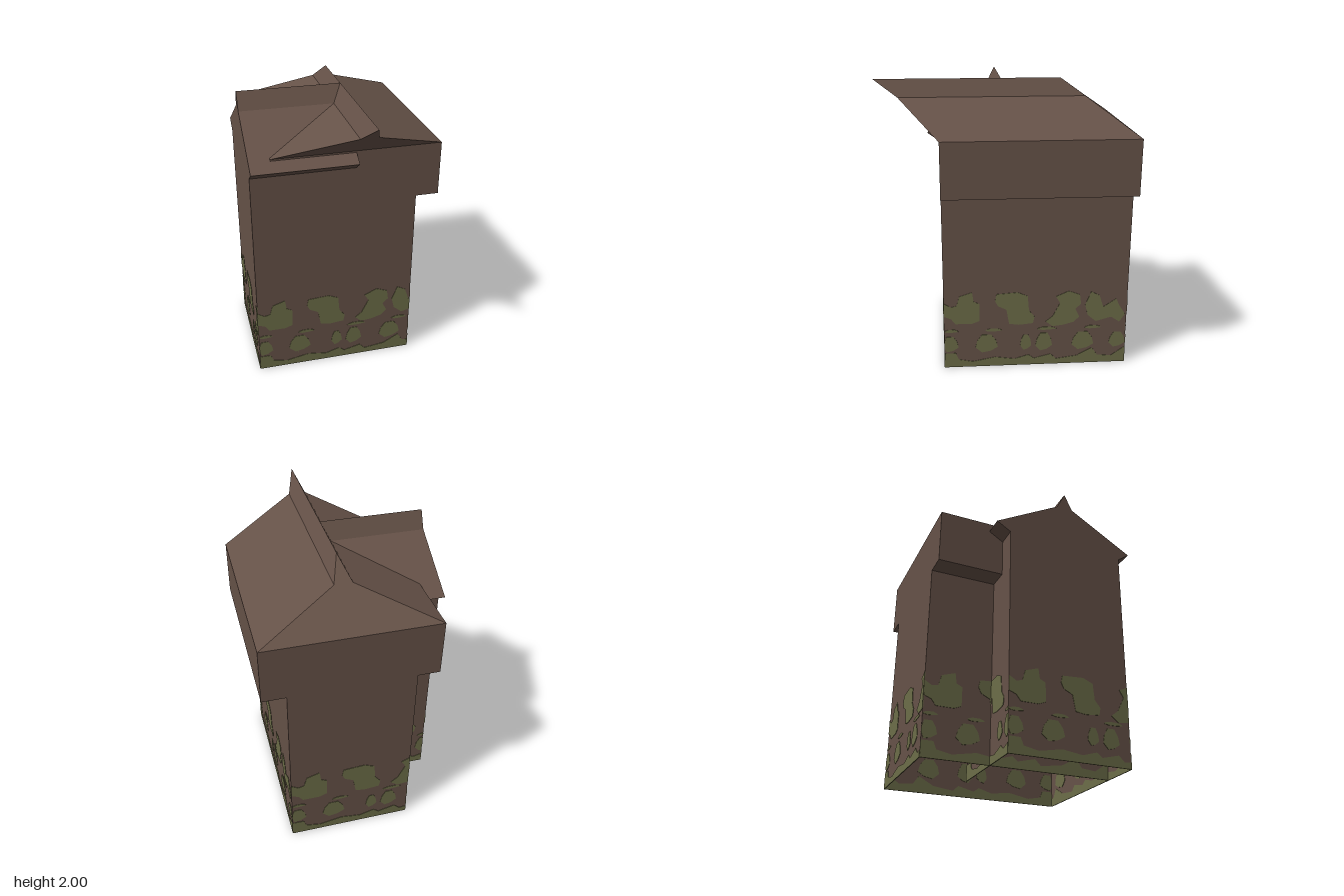
import * as THREE from 'three';

const brown = new THREE.MeshStandardMaterial({ color: 0x665248, side: THREE.DoubleSide });
brown.name = 'weathered brown';
const moss = new THREE.MeshStandardMaterial({ color: 0x6c6d48, side: THREE.DoubleSide });
moss.name = 'moss green';

// Moss patches as outlines along the wall and up it
const MOSS = [
  [[0, .5], [.05, .47], [.09, .48], [.11, .55], [.2, .58], [.21, .51], [.25, .49], [.25, .36], [.2, .34], [.08, .34], [.05, .38], [0, .4]],
  [[.36, .51], [.37, .56], [.52, .57], [.59, .54], [.6, .43], [.64, .38], [.63, .33], [.53, .32], [.46, .33], [.44, .44], [.38, .47]],
  [[.82, .48], [.79, .53], [.88, .57], [.96, .54], [.97, .47], [.93, .43], [.96, .37], [.92, .33], [.85, .31], [.77, .3], [.72, .34], [.77, .38]],
  [[1, .46], [1.04, .56], [1.1, .53], [1.13, .44], [1.22, .5], [1.25, .44], [1.29, .38], [1.25, .32], [1.19, .36], [1.08, .33], [1.02, .38]],
  [[0, 0], [0, .11], [.08, .11], [.1, .06], [.2, .04], [.36, .07], [.5, .05], [.6, .08], [.64, .05], [.76, .08], [.8, .04], [.95, .06],
    [1.06, .12], [1.1, .06], [1.2, .05], [1.3, .12], [1.3, 0]],
];
// Small rounded patches: centre, half width, half height
const SPOTS = [
  [.04, .18, .06, .06], [.3, .18, .08, .07], [.58, .18, .04, .06], [.71, .18, .06, .07], [.99, .18, .08, .07],
  [1.24, .18, .06, .06], [.05, .285, .05, .012], [.35, .285, .06, .012], [.73, .285, .07, .012], [1.06, .285, .06, .012],
];
for (const [u, y, a, b] of SPOTS) {
  MOSS.push([...Array(8).keys()].map((i) => {
    const t = (i + .5) * Math.PI / 4;
    const r = i % 3 ? 1.08 : .9;
    return [Math.max(0, u + a * r * Math.cos(t)), y + b * r * Math.sin(t)];
  }));
}

const shapeOf = (points) => new THREE.Shape(points.map(([x, y]) => new THREE.Vector2(x, y)));

function add(parent, name, geometry, material) {
  const mesh = new THREE.Mesh(geometry, material);
  mesh.name = name;
  parent.add(mesh);
  return mesh;
}

// Keeps the part of an outline that lies within the wall width
function clip(points, width) {
  const out = [];
  points.forEach((p, i) => {
    const q = points[(i + 1) % points.length];
    if (p[0] <= width) out.push(p);
    if ((p[0] <= width) !== (q[0] <= width)) {
      const t = (width - p[0]) / (q[0] - p[0]);
      out.push([width, p[1] + t * (q[1] - p[1])]);
    }
  });
  return out;
}

// A wall runs from its left end to its right end as seen from outside
function wall(parent, name, ax, az, bx, bz, height) {
  const group = new THREE.Group();
  group.name = name;
  const width = Math.hypot(bx - ax, bz - az);
  group.position.set(ax, 0, az);
  group.rotation.y = Math.atan2(az - bz, bx - ax);
  add(group, name + 'Panel', new THREE.PlaneGeometry(width, height).translate(width / 2, height / 2, 0), brown);
  // Moss shows on both faces of the wall
  const patches = MOSS.map((p) => clip(p, width)).filter((p) => p.length > 2).map(shapeOf);
  const plates = new THREE.ExtrudeGeometry(patches, { depth: .006, bevelEnabled: false });
  add(group, name + 'Moss', plates.translate(0, 0, -.003), moss);
  parent.add(group);
}

export function createModel() {
  const model = new THREE.Group();
  model.name = 'cottage';

  // Main block and side wing, open underneath
  wall(model, 'frontWall', -.65, .42, .49, .42, 1.57);
  wall(model, 'leftWall', .49, .42, .49, -.88, 1.3);
  wall(model, 'backWall', .49, -.88, -.36, -.88, 1.3);
  wall(model, 'innerWall', -.36, -.88, -.36, .42, 1.3);
  wall(model, 'wingBackWall', .06, -.43, -.65, -.43, 1.57);
  wall(model, 'wingEndWall', -.65, -.43, -.65, .42, 1.57);

  // Upper storey jutting out on both sides
  const jetty = add(model, 'upperStorey', new THREE.BoxGeometry(1.16, .38, 1.3), brown);
  jetty.position.set(.07, 1.49, -.23);

  // Main roof: a gable prism that leans forward as it rises
  const main = new THREE.ExtrudeGeometry(
    shapeOf([[-.51, 1.68], [.65, 1.68], [.12, 1.88], [.06, 2], [0, 1.88]]),
    { depth: 1.3, bevelEnabled: false },
  ).translate(0, 0, -.88);
  const pos = main.attributes.position;
  for (let i = 0; i < pos.count; i++) {
    pos.setZ(i, pos.getZ(i) + (pos.getY(i) - 1.68) * 1.41);
  }
  main.computeVertexNormals();
  add(model, 'mainRoof', main, brown);

  // Wing roof: ridge runs across, with wedge-shaped eaves
  const wing = new THREE.ExtrudeGeometry(
    shapeOf([[-.42, 1.56], [.43, 1.56], [.53, 1.62], [.07, 1.88], [.01, 2], [-.05, 1.88], [-.505, 1.62]]),
    { depth: .71, bevelEnabled: false },
  ).rotateY(Math.PI / 2).translate(-.65, 0, 0);
  add(model, 'wingRoof', wing, brown);

  return model;
}
